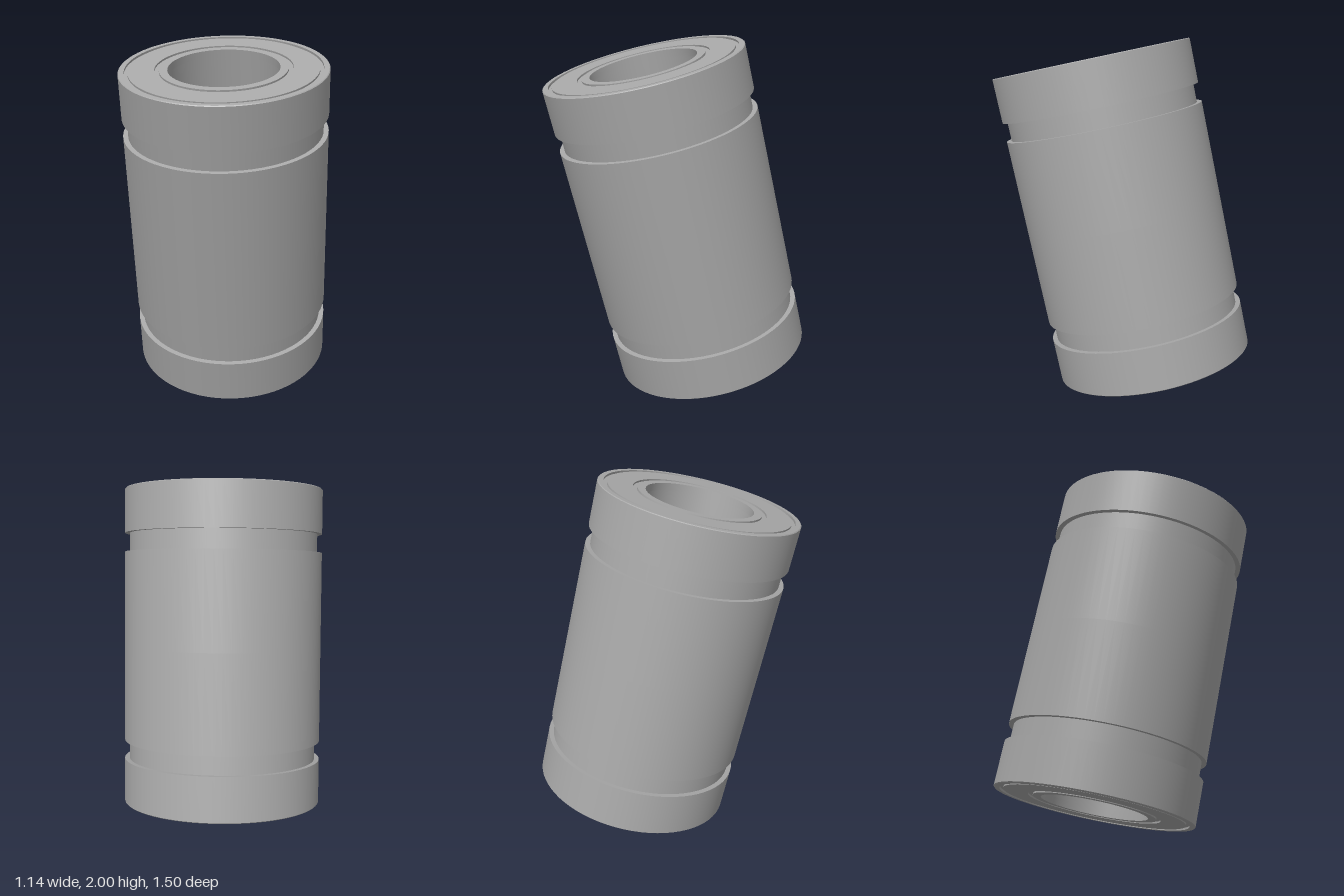
import * as THREE from 'three';
import { mergeGeometries } from 'three/addons/utils/BufferGeometryUtils.js';

const TRACKS = 5, FIRST = -17 * Math.PI / 180, STEP = 2 * Math.PI / TRACKS;
const BORE = 0.307, LOOP = 0.128, STRAIGHT = 0.5;

// Lathe with a hard edge at every profile point
function hardLathe(profile) {
  const rings = [];
  for (let i = 0; i < profile.length - 1; i++) {
    const pair = [profile[i], profile[i + 1]].map(([r, y]) => new THREE.Vector2(r, y));
    rings.push(new THREE.LatheGeometry(pair, 72));
  }
  return mergeGeometries(rings);
}

// Same profile at the other end, reversed to keep faces outward
const flip = (profile) => profile.map(([r, y]) => [r, -y]).reverse();

// Bore wall with a stadium-shaped ball groove sunk around each track
function boreWall() {
  const geo = new THREE.PlaneGeometry(1, 1, 300, 120);
  const p = geo.attributes.position;
  for (let i = 0; i < p.count; i++) {
    const fromTrack = -(p.getX(i) + 0.5) * 2 * Math.PI + STEP / 2;
    const k = Math.round(fromTrack / STEP);
    const s = (fromTrack - k * STEP) * BORE;
    const y = p.getY(i) * 1.7;
    const d = Math.hypot(s, Math.max(Math.abs(y) - STRAIGHT, 0));
    const sink = THREE.MathUtils.smoothstep(0.024 - Math.abs(d - LOOP), 0, 0.016);
    const r = BORE + 0.022 * sink;
    const a = fromTrack + FIRST;
    p.setXYZ(i, r * Math.sin(a), y, r * Math.cos(a));
  }
  geo.computeVertexNormals();
  return geo;
}

// Balls on the loaded side and both rounded ends of each track
function trackBalls() {
  const spots = [];
  for (let i = 0; i <= 30; i++) spots.push([-LOOP, -STRAIGHT + i * STRAIGHT / 15]);
  for (let i = 1; i < 12; i++) {
    const a = i * Math.PI / 12;
    const s = -LOOP * Math.cos(a), t = STRAIGHT + LOOP * Math.sin(a);
    spots.push([s, t], [s, -t]);
  }
  const ball = new THREE.SphereGeometry(0.016, 8, 6);
  const balls = [];
  for (let k = 0; k < TRACKS; k++) {
    for (const [s, y] of spots) {
      const a = FIRST + k * STEP + s / BORE, r = 0.312;
      balls.push(ball.clone().translate(r * Math.sin(a), y, r * Math.cos(a)));
    }
  }
  return mergeGeometries(balls);
}

export function createModel() {
  const steel = new THREE.MeshStandardMaterial({ color: 0xa8a8a8 });
  steel.name = 'grey steel';
  const model = new THREE.Group();
  model.name = 'linearBearing';
  const bearing = new THREE.Group();
  bearing.name = 'tiltedBearing';
  model.add(bearing);
  const add = (name, geo) => {
    const mesh = new THREE.Mesh(geo, steel);
    mesh.name = name;
    bearing.add(mesh);
  };

  // Outer sleeve with two retaining-ring grooves
  const sleeve = [
    [0.5625, 0], [0.5625, 0.538], [0.535, 0.538], [0.535, 0.644],
    [0.5625, 0.644], [0.5625, 0.89], [0.558, 0.894], [0.53, 0.894], [0.53, 0.882],
  ];
  add('outerSleeve', hardLathe([...flip(sleeve), ...sleeve.slice(1)]));

  // End seals with fine ring grooves and a lip around the opening
  const seal = [
    [0.53, 0.882], [0.51, 0.882], [0.51, 0.892], [0.37, 0.892], [0.37, 0.882],
    [0.345, 0.882], [0.345, 0.892], [0.3, 0.892], [0.3, 0.85], [0.31, 0.85],
  ];
  add('topSeal', hardLathe(seal));
  add('bottomSeal', hardLathe(flip(seal)));

  add('boreWall', boreWall());
  add('trackBalls', trackBalls());

  // Leaning pose, resting on its lower rim
  bearing.rotation.set(13.3 * Math.PI / 180, 0, 0.007);
  bearing.position.y = 1;
  return model;
}
